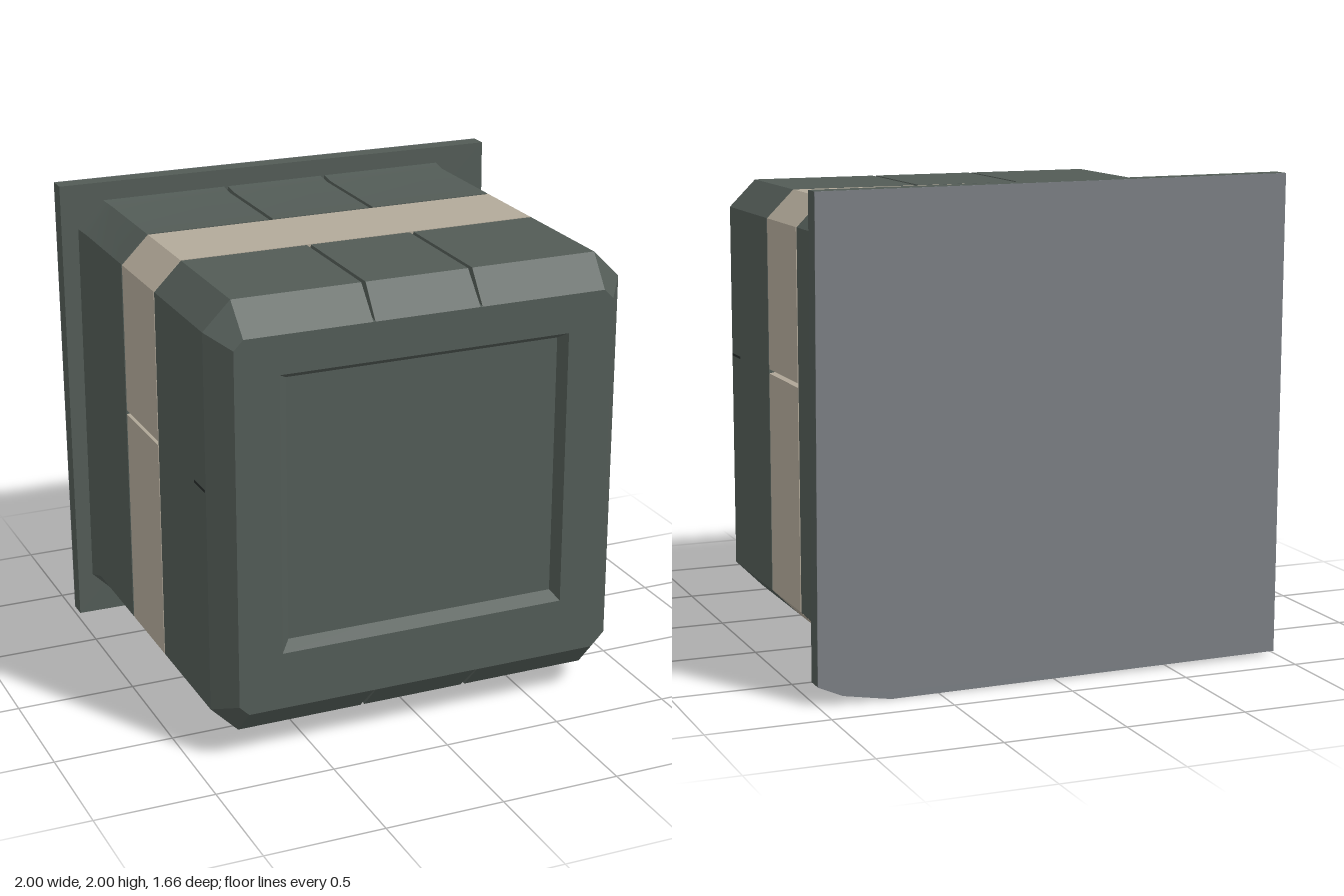
import * as THREE from 'three';
import { toCreasedNormals } from 'three/addons/utils/BufferGeometryUtils.js';

const SEAMS = [-0.25, 0.205]; // x of the grooves across top and bottom
const SPLIT = 1.155; // y of the joint on the sides

// Chamfered rectangle, counter-clockwise, with V grooves on its four sides
function ring(z, [x0, x1, y0, y1], cut = 0, seam = 0, split = 0) {
  const w = 0.009, pts = [];
  const add = (x, y) => pts.push([x, y, z]);
  add(x0 + cut, y0);
  for (const s of SEAMS) { add(s - w, y0); add(s, y0 + seam); add(s + w, y0); }
  add(x1 - cut, y0);
  add(x1, y0 + cut);
  add(x1, SPLIT - w); add(x1 - split, SPLIT); add(x1, SPLIT + w);
  add(x1, y1 - cut);
  add(x1 - cut, y1);
  for (const s of [...SEAMS].reverse()) { add(s + w, y1); add(s, y1 - seam); add(s - w, y1); }
  add(x0 + cut, y1);
  add(x0, y1 - cut);
  add(x0, SPLIT + w); add(x0 + split, SPLIT); add(x0, SPLIT - w);
  add(x0, y0 + cut);
  return pts;
}

// Skin a list of rings from back to front and close both ends
function loft(rings) {
  const n = rings[0].length, pos = [], index = [];
  rings.forEach(r => r.forEach(p => pos.push(...p)));
  for (let k = 0; k < rings.length - 1; k++) {
    for (let i = 0; i < n; i++) {
      const a = k * n + i, b = k * n + (i + 1) % n;
      index.push(a, b, b + n, a, b + n, a + n);
    }
  }
  const back = rings.length * n, front = back + 1, last = back - n;
  pos.push(0, 1, rings[0][0][2], 0, 1, rings[rings.length - 1][0][2]);
  for (let i = 0; i < n; i++) {
    const j = (i + 1) % n;
    index.push(back, j, i, front, last + i, last + j);
  }
  const geo = new THREE.BufferGeometry();
  geo.setAttribute('position', new THREE.Float32BufferAttribute(pos, 3));
  geo.setIndex(index);
  return toCreasedNormals(geo, 0.5);
}

export function createModel() {
  const model = new THREE.Group();
  const stone = new THREE.MeshStandardMaterial({ color: 0x525b56 });
  stone.name = 'dark stone';
  const sand = new THREE.MeshStandardMaterial({ color: 0xb2a999 });
  sand.name = 'pale band';
  const grey = new THREE.MeshStandardMaterial({ color: 0x7a7e83 });
  grey.name = 'grey backing';
  const dark = new THREE.MeshStandardMaterial({ color: 0x252a28 });
  dark.name = 'crack';

  const add = (name, geo, mat) => {
    const mesh = new THREE.Mesh(geo, mat);
    mesh.name = name;
    model.add(mesh);
    return mesh;
  };

  const body = [-0.91, 0.87, 0.1, 1.91];

  // Front block: bevelled rim and sunken square panel
  add('frontBlock', loft([
    ring(0.175, body, 0.115, 0.1),
    ring(0.715, body, 0.115, 0.1),
    ring(0.83, [-0.83, 0.785, 0.22, 1.785], 0.04),
    ring(0.83, [-0.645, 0.59, 0.46, 1.625]),
    ring(0.78, [-0.6, 0.565, 0.495, 1.595]),
  ]), stone);

  // Pale band around the middle, split on both sides
  add('middleBand', loft([
    ring(-0.22, body, 0.115, 0, 0.05),
    ring(0.168, body, 0.115, 0, 0.05),
  ]), sand);

  // Rear block, flaring slightly into the back plate
  add('rearBlock', loft([
    ring(-0.757, [-0.925, 0.875, 0.08, 1.92], 0.115, 0.1),
    ring(-0.68, body, 0.115, 0.1),
    ring(-0.23, body, 0.115, 0.1),
  ]), stone);

  // Small cracks on the sides of the front block
  for (const [name, x] of [['leftCrack', 0.87], ['rightCrack', -0.91]]) {
    add(name, new THREE.BoxGeometry(0.004, 0.01, 0.12), dark).position.set(x, 1.15, 0.65);
  }

  // Back plate with one worn lower corner, and its grey backing
  const outline = new THREE.Shape([
    [-0.99, 0.015], [0.7, 0], [0.9, 0.035], [1, 0.08], [0.99, 1.99], [-1, 2],
  ].map(p => new THREE.Vector2(...p)));
  const plate = (name, z, depth, mat) => {
    const geo = new THREE.ExtrudeGeometry(outline, { depth, bevelEnabled: false });
    add(name, geo, mat).position.z = z;
  };
  plate('backPlate', -0.83, 0.075, stone);
  plate('plateBacking', -0.834, 0.004, grey);

  return model;
}
